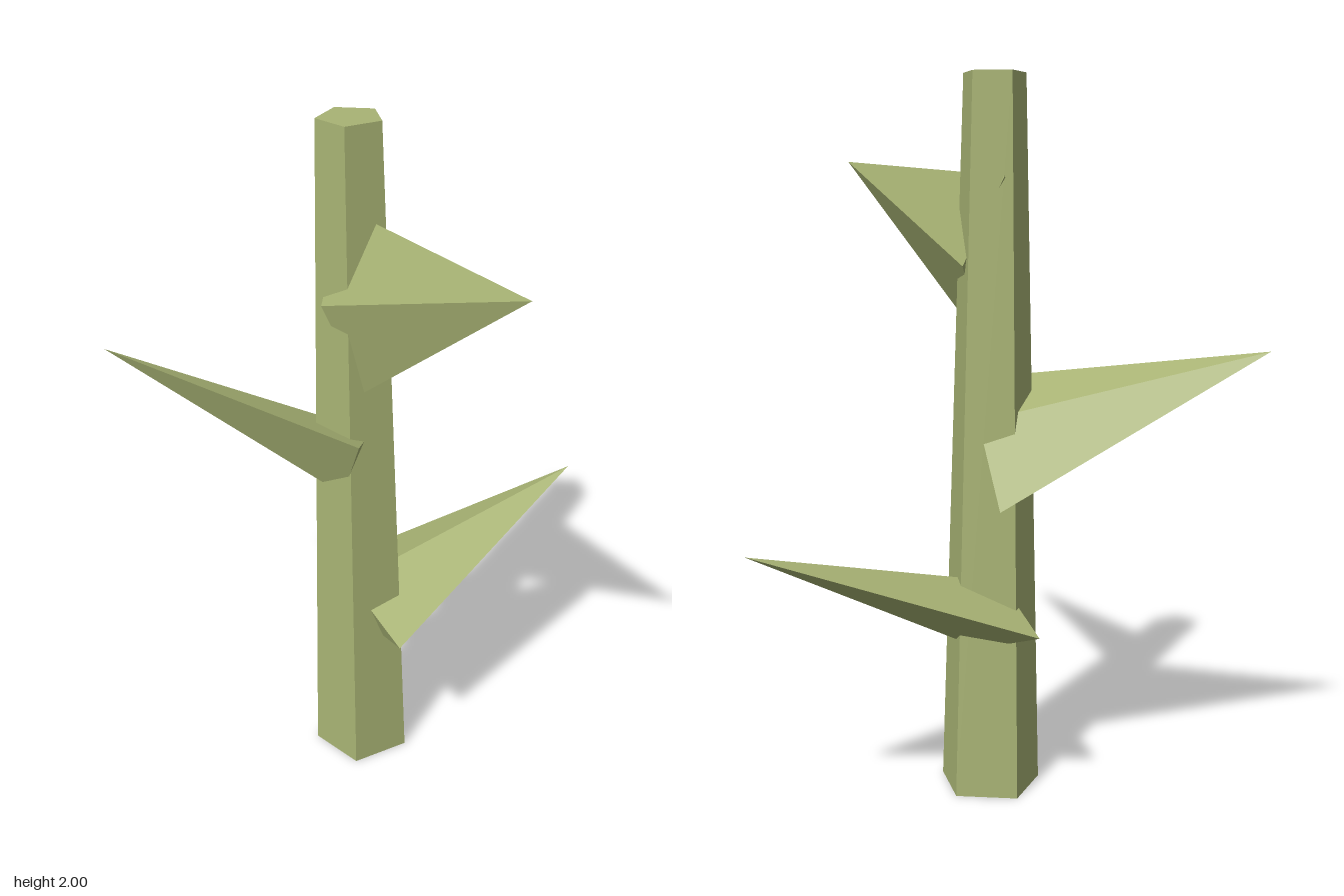
import * as THREE from 'three';

export function createModel() {
  const group = new THREE.Group();
  const green = new THREE.MeshStandardMaterial({ color: 0xa8b374 });
  green.name = 'olive green';
  green.flatShading = true;

  // Tapered five-sided stalk, flat side to the front
  const cx = -0.1, cz = -0.119;
  const stalk = new THREE.Mesh(new THREE.CylinderGeometry(0.089, 0.147, 2, 5), green);
  stalk.name = 'stalk';
  stalk.rotation.y = Math.PI;
  stalk.position.set(cx, 1, cz);
  group.add(stalk);

  // Thorn: flattened four-sided pyramid growing from the stalk axis.
  // tip = end point, wide = direction of its broad diagonal
  function addThorn(name, y, tip, wide) {
    const base = new THREE.Vector3(cx, y, cz);
    const along = new THREE.Vector3(...tip).sub(base);
    const axis = along.clone().normalize();
    const broad = new THREE.Vector3(...wide);
    broad.addScaledVector(axis, -broad.dot(axis)).normalize();
    const thin = axis.clone().cross(broad);
    const geometry = new THREE.ConeGeometry(1, 1, 4).translate(0, 0.5, 0);
    geometry.applyMatrix4(new THREE.Matrix4()
      .makeBasis(thin.multiplyScalar(0.1), along, broad.multiplyScalar(0.246))
      .setPosition(base));
    const flat = geometry.toNonIndexed();
    flat.computeVertexNormals();
    const thorn = new THREE.Mesh(flat, green);
    thorn.name = name;
    group.add(thorn);
  }
  addThorn('lowerThorn', 0.5, [0.645, 0.772, -0.122], [0, 0, 1]);
  addThorn('middleThorn', 1.0, [-0.648, 1.273, -0.627], [-0.08, 0.157, 0.172]);
  addThorn('upperThorn', 1.5, [-0.035, 1.775, 0.62], [0.02, 0.23, -0.087]);

  return group;
}
